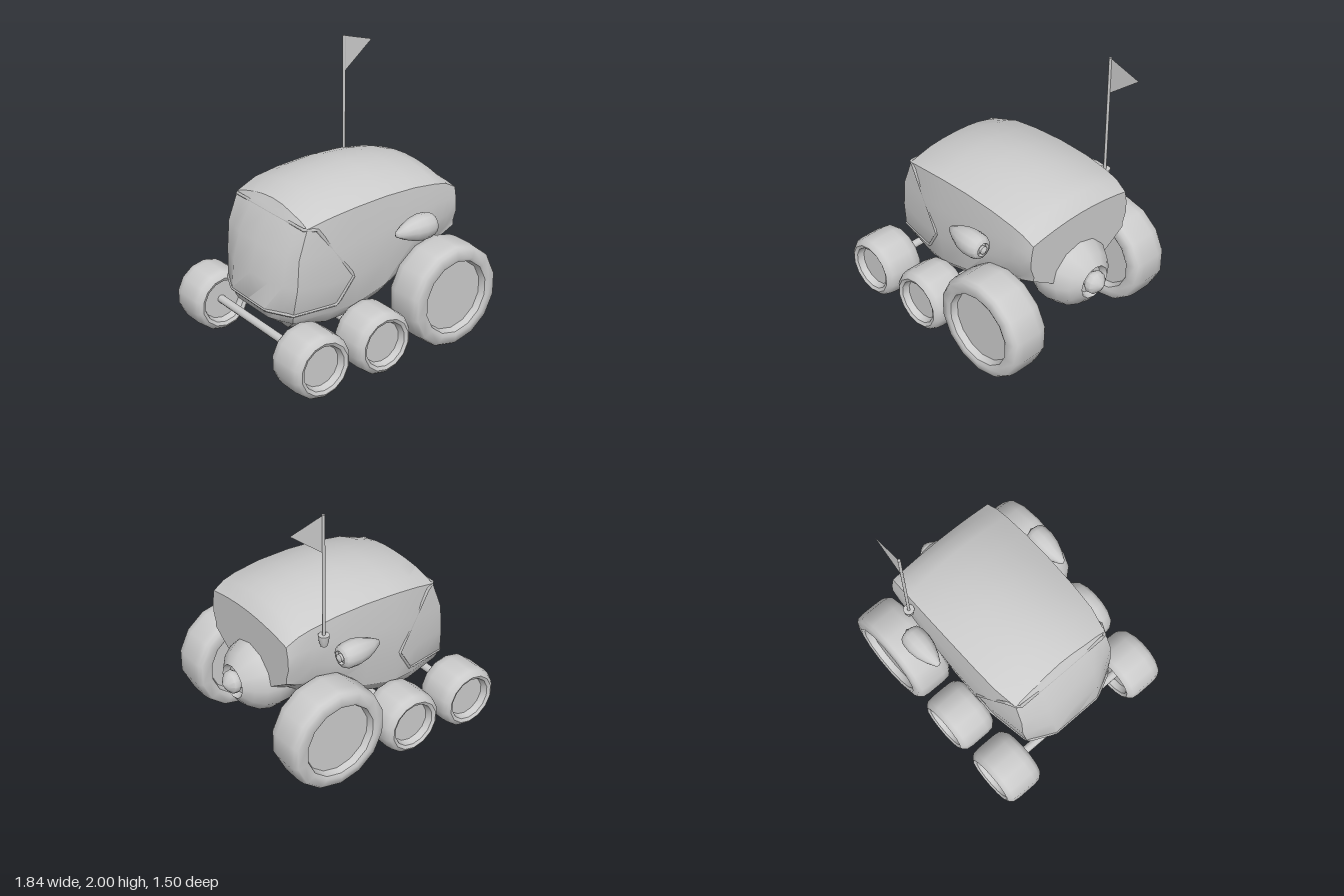
import * as THREE from 'three';
import { toCreasedNormals } from 'three/addons/utils/BufferGeometryUtils.js';

const material = new THREE.MeshStandardMaterial({ color: 0xcccccc });
const thinMaterial = new THREE.MeshStandardMaterial({ color: 0xcccccc, side: THREE.DoubleSide });

function add(parent, name, geometry, x = 0, y = 0, z = 0, mat = material) {
  const mesh = new THREE.Mesh(geometry, mat);
  mesh.name = name;
  mesh.position.set(x, y, z);
  parent.add(mesh);
  return mesh;
}

// Turned part with sharp edges kept
function turned(points, sides) {
  const g = new THREE.LatheGeometry(points.map(([r, h]) => new THREE.Vector2(r, h)), sides);
  return toCreasedNormals(g, 0.75);
}

function tube(points, radius, sides, closed = false) {
  const path = new THREE.CurvePath();
  const v = points.map((p) => new THREE.Vector3(...p));
  if (closed) v.push(v[0].clone());
  for (let i = 0; i < v.length - 1; i++) path.add(new THREE.LineCurve3(v[i], v[i + 1]));
  return new THREE.TubeGeometry(path, 120, radius, sides, closed);
}

// Triangles of a grid given as rows of [x, y, z]
function gridTriangles(rows, out) {
  for (let i = 0; i < rows.length - 1; i++) {
    for (let j = 0; j < rows[i].length - 1; j++) {
      const a = rows[i][j], b = rows[i + 1][j], c = rows[i + 1][j + 1], d = rows[i][j + 1];
      out.push(...a, ...b, ...c, ...a, ...c, ...d);
    }
  }
}

// Nose outline, [y, x], swept back towards the sides
const NOSE = [[0.215, -0.5], [0.35, -0.72], [0.47, -0.785], [0.65, -0.768], [0.9, -0.7], [1.08, -0.61], [1.18, -0.555]];
function noseX(y, z) {
  let k = 0;
  while (k < NOSE.length - 2 && y > NOSE[k + 1][0]) k++;
  const [y0, x0] = NOSE[k], [y1, x1] = NOSE[k + 1];
  const x = THREE.MathUtils.mapLinear(y, y0, y1, x0, x1);
  const sweep = THREE.MathUtils.lerp(0.11, 0.03, THREE.MathUtils.smoothstep(y, 0.5, 1.1));
  return x + sweep * Math.max(0, (Math.abs(z) - 0.2) / 0.22);
}

// Hull stations: x (null = nose), top, shoulder y, shoulder z, half width, low y, low z, keel
const STATIONS = [
  [null, 1.17, 1.09, 0.41, 0.42, 0.4, 0.36, 0.22],
  [-0.4, 1.235, 1.14, 0.445, 0.465, 0.34, 0.38, 0.215],
  [-0.2, 1.275, 1.165, 0.455, 0.48, 0.34, 0.37, 0.21],
  [0.05, 1.3, 1.18, 0.46, 0.485, 0.42, 0.38, 0.275],
  [0.3, 1.282, 1.175, 0.46, 0.485, 0.57, 0.4, 0.37],
  [0.5, 1.245, 1.15, 0.455, 0.475, 0.69, 0.42, 0.48],
  [0.6, 1.213, 1.125, 0.45, 0.47, 0.735, 0.43, 0.535],
  [0.69, 1.125, 1.075, 0.44, 0.46, 0.78, 0.435, 0.585],
];

// Half cross-section from keel to roof centre, as [y, z]
function halfSection([, top, ys, zs, w, low, zl, keel]) {
  const pts = [[keel, 0], [keel + 0.25 * (low - keel), zl * 0.5], [low, zl]];
  for (const [f, s] of [[0.12, 0.94], [0.4, 1], [0.7, 0.995]]) pts.push([low + f * (ys - low), w * s]);
  for (const f of [1, 0.8, 0.55, 0.28, 0]) pts.push([top - (top - ys) * f * f, zs * f]);
  return pts;
}

function hullGeometry() {
  const out = [];
  const halves = STATIONS.map(halfSection);
  const place = (i, y, z) => [STATIONS[i][0] ?? noseX(y, z), y, z];
  gridTriangles(halves.map((half, i) => {
    const left = half.map(([y, z]) => place(i, y, z));
    const right = half.map(([y, z]) => place(i, y, -z)).reverse();
    return [...left, ...right.slice(1)];
  }), out);
  // Nose and tail faces
  const across = [-1, -0.75, -0.5, 0, 0.5, 0.75, 1];
  const last = STATIONS.length - 1;
  gridTriangles(across.map((f) => halves[0].map(([y, z]) => place(0, y, z * f))), out);
  gridTriangles(across.map((f) => halves[last].map(([y, z]) => place(last, y, -z * f))), out);
  const g = new THREE.BufferGeometry();
  g.setAttribute('position', new THREE.Float32BufferAttribute(out, 3));
  return toCreasedNormals(g, 0.55);
}

// Tyre with a dished hub on both faces
function wheelGeometry(r, hub) {
  const h = 0.158;
  const side = [[0, h - 0.06], [hub - 0.015, h - 0.06], [hub, h - 0.012], [hub + 0.025, h],
    [r - 0.025, h - 0.012], [r - 0.007, h - 0.035], [r, h - 0.085]];
  const profile = [...side.map(([a, b]) => [a, -b]), ...side.slice().reverse()];
  return turned(profile, 14).rotateX(Math.PI / 2);
}

export function createModel() {
  const model = new THREE.Group();
  model.name = 'rover';

  add(model, 'hull', hullGeometry());

  // Raised frame around the cockpit glazing
  const frameHalf = [[-0.595, 1.085, 0.39], [-0.51, 1.075, 0.433], [-0.24, 0.68, 0.476],
    [-0.36, 0.49, 0.448], [-0.69, 0.48, 0.39], [-0.78, 0.475, 0.2]];
  const frame = [...frameHalf, ...frameHalf.map(([x, y, z]) => [x, y, -z]).reverse()];
  add(model, 'cockpitFrame', tube(frame, 0.013, 4, true));

  // Wheels, struts and side thrusters on both sides
  const small = wheelGeometry(0.235, 0.165);
  const big = wheelGeometry(0.385, 0.275);
  const pod = turned([[0, -0.175], [0.02, -0.165], [0.055, -0.1], [0.082, -0.03], [0.094, 0.04], [0.09, 0.11],
    [0.075, 0.145], [0.05, 0.158], [0.04, 0.14], [0.028, 0.145], [0.03, 0.165], [0, 0.182]], 12)
    .rotateZ(-Math.PI / 2);
  for (const s of [1, -1]) {
    const side = s > 0 ? 'left' : 'right';
    add(model, side + 'FrontWheel', small, -0.69, 0.24, s * 0.593);
    add(model, side + 'MiddleWheel', small, -0.17, 0.24, s * 0.593);
    add(model, side + 'RearWheel', big, 0.465, 0.395, s * 0.593);
    add(model, side + 'RearStrut', tube([[0.465, 0.75, s * 0.365], [0.465, 0.42, s * 0.365],
      [0.465, 0.4, s * 0.385], [0.465, 0.395, s * 0.51]], 0.019, 8));
    add(model, side + 'Thruster', pod, 0.205, 0.94, s * 0.583);
  }

  // Straight axles
  for (const [name, x] of [['frontAxle', -0.69], ['middleAxle', -0.17]]) {
    add(model, name, new THREE.CylinderGeometry(0.03, 0.03, 1.02, 10).rotateX(Math.PI / 2), x, 0.24, 0);
  }

  // Main thruster: ball, nozzle mouth and pointed core
  const ball = [];
  for (let k = 0; k <= 8; k++) {
    const a = THREE.MathUtils.lerp(-Math.PI / 2, 1.1, k / 8);
    ball.push([Math.max(0, 0.275 * Math.cos(a)), 0.275 * Math.sin(a)]);
  }
  ball.push([0.1, 0.2], [0.06, 0.2], [0.085, 0.235], [0.08, 0.27], [0.045, 0.3], [0, 0.322]);
  add(model, 'mainThruster', turned(ball, 12).rotateZ(-Math.PI / 2), 0.597, 0.618, 0);

  // Flag mast
  add(model, 'mastBase', turned([[0, 0], [0.022, 0], [0.034, 0.035], [0.04, 0.085], [0, 0.085]], 10), 0.435, 1.025, -0.505);
  add(model, 'mast', new THREE.CylinderGeometry(0.011, 0.011, 0.92, 8), 0.435, 1.54, -0.505);
  const pennant = new THREE.Shape([[0, 0], [0, -0.27], [0.25, -0.07]].map((p) => new THREE.Vector2(...p)));
  add(model, 'flag', new THREE.ShapeGeometry(pennant), 0.44, 1.998, -0.505, thinMaterial);

  return model;
}
